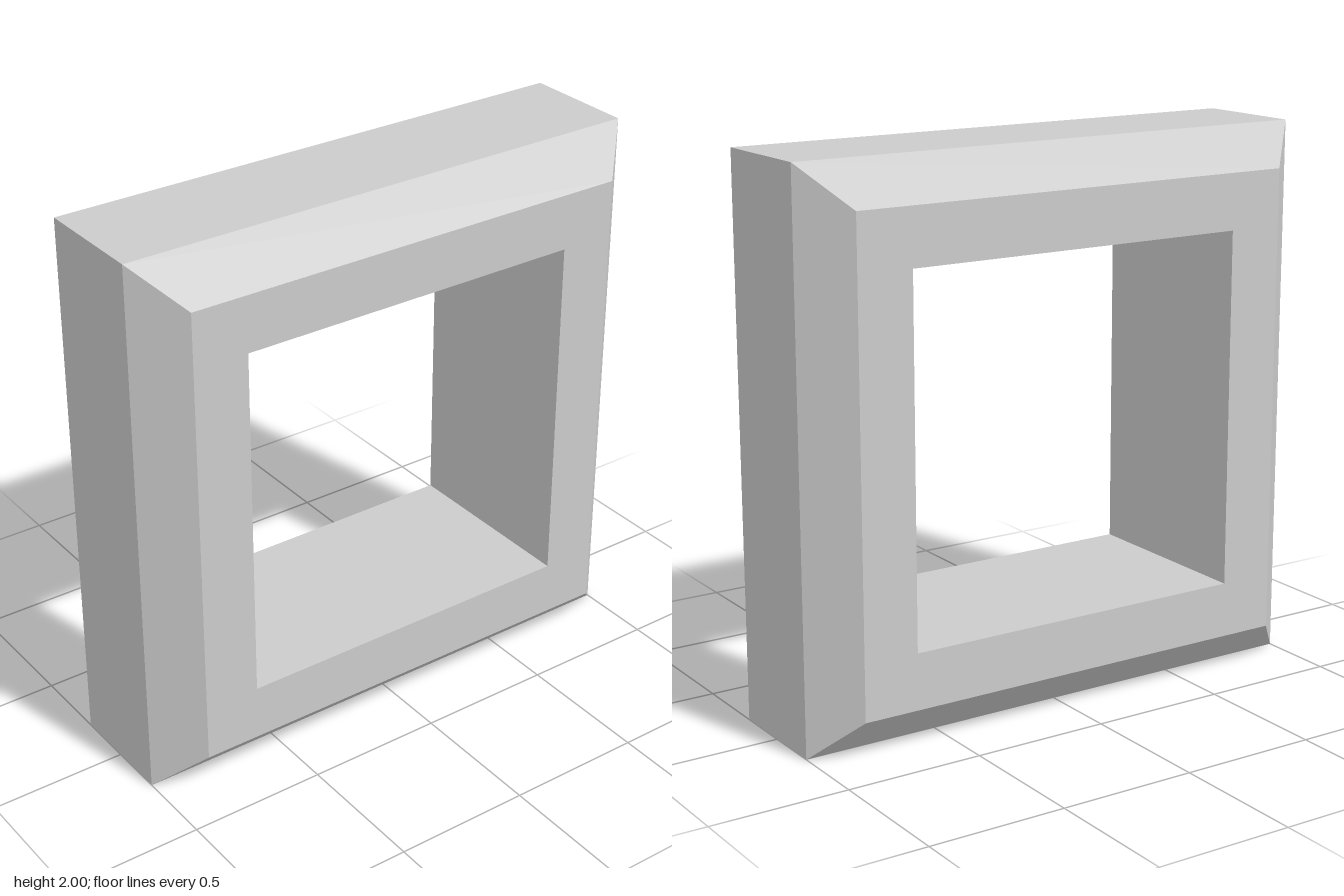
import * as THREE from 'three';

export function createModel() {
  const group = new THREE.Group();
  group.name = 'squareFrame';

  // Closed cross-section of one bar: [distance from centre, depth]
  const hole = 0.65, face = 0.853, outer = 1, side = 0.21, depth = 0.357;
  const section = [
    [hole, -depth], [face, -depth], [outer, -side],
    [outer, side], [face, depth], [hole, depth], [hole, -depth],
  ].map(([r, z]) => new THREE.Vector2(r * Math.SQRT2, z));

  // Sweep it round four mitred corners, then stand the ring upright
  const geometry = new THREE.LatheGeometry(section, 4, Math.PI / 4)
    .rotateX(Math.PI / 2)
    .toNonIndexed();
  geometry.computeVertexNormals();

  const frame = new THREE.Mesh(
    geometry,
    new THREE.MeshStandardMaterial({ color: 0xcccccc, flatShading: true }),
  );
  frame.name = 'bevelledFrame';
  frame.position.y = 1;
  group.add(frame);
  return group;
}
